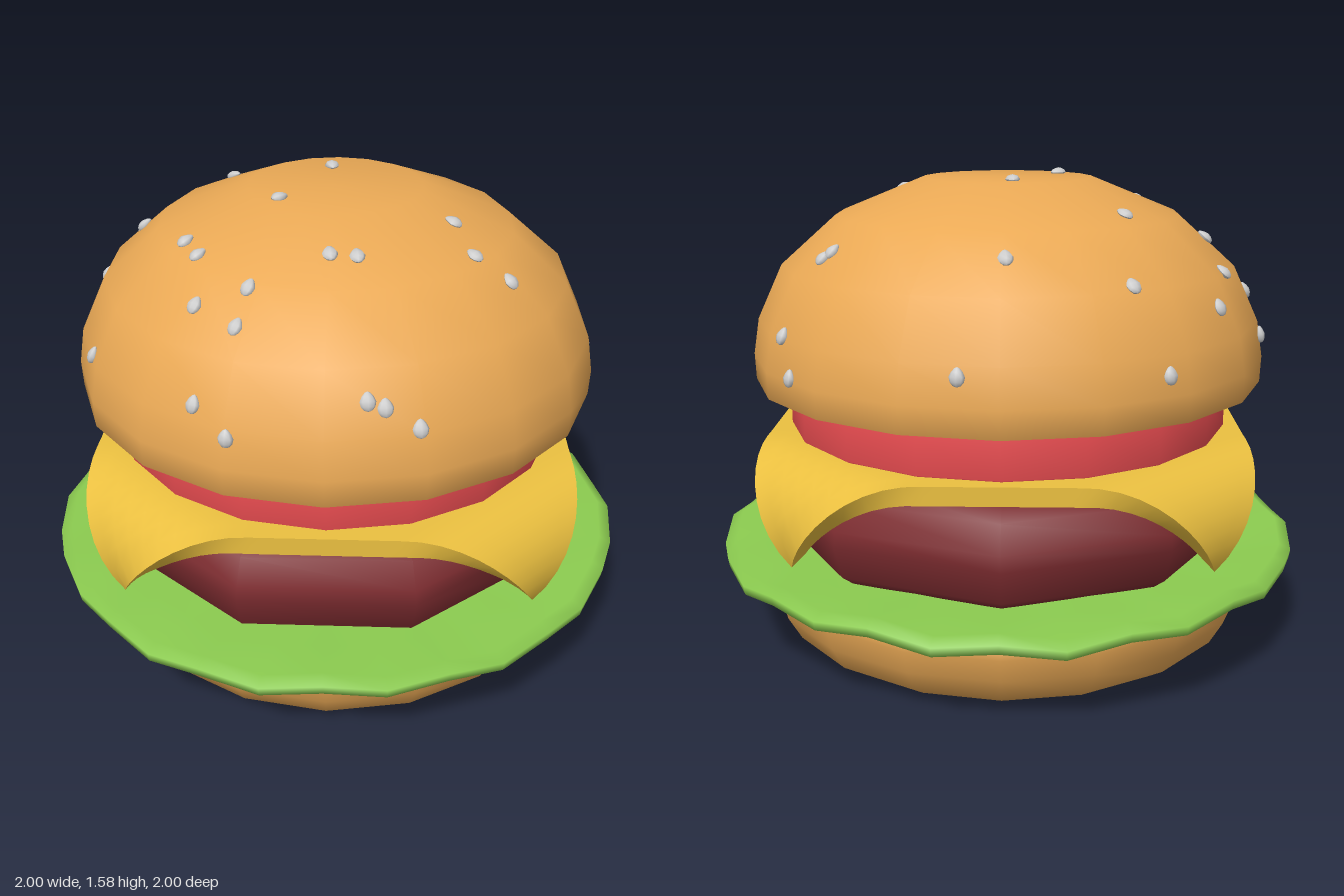
import * as THREE from 'three';
import { mergeVertices } from 'three/addons/utils/BufferGeometryUtils.js';

const mat = (color) => new THREE.MeshStandardMaterial({ color });
const bunMat = mat(0xeaa955);
const SIDES = 18;

// Crown profile: [radius, height] from the underside to the top
const crown = [[0, 0.885], [0.83, 0.885], [0.863, 0.893], [0.866, 0.98], [0.846, 1.1],
  [0.762, 1.28], [0.58, 1.44], [0.285, 1.56], [0, 1.562]];

function lathe(name, profile, sides, material) {
  const geo = new THREE.LatheGeometry(profile.map(([r, y]) => new THREE.Vector2(r, y)), sides);
  const mesh = new THREE.Mesh(geo, material);
  mesh.name = name;
  return mesh;
}

// Disc whose rim ripples up and down
function makeLettuce() {
  const mesh = lathe('lettuce', [[0, 0.27], [0.78, 0.275], [0.95, 0.28], [0.995, 0.295], [1, 0.325],
    [0.96, 0.345], [0.8, 0.325], [0, 0.325]], 32, mat(0x8ccc50));
  const geo = mesh.geometry;
  geo.deleteAttribute('uv');
  geo.deleteAttribute('normal');
  const p = geo.attributes.position;
  for (let i = 0; i < p.count; i++) {
    const x = p.getX(i), z = p.getZ(i), a = Math.atan2(x, z);
    const rim = THREE.MathUtils.smoothstep(Math.hypot(x, z), 0.72, 0.97);
    const wave = 0.013 * Math.cos(16 * a) + 0.007 * Math.sin(5 * a + 1);
    p.setY(i, p.getY(i) + rim * wave);
  }
  mesh.geometry = mergeVertices(geo, 1e-4);
  mesh.geometry.computeVertexNormals();
  return mesh;
}

// Square slice with its four corners rolled down around a diagonal bend
function makeCheese() {
  const start = 0.74, R = 0.18, maxBend = 2.1;
  const geo = new THREE.BoxGeometry(1.58, 0.06, 1.58, 28, 1, 28);
  const p = geo.attributes.position;
  for (let i = 0; i < p.count; i++) {
    const x = p.getX(i), t = p.getY(i), z = p.getZ(i);
    const s = (Math.abs(x) + Math.abs(z)) / Math.SQRT2;
    const a = THREE.MathUtils.clamp((s - start) / R, 0, maxBend);
    const rest = Math.max(s - start - R * maxBend, 0);
    let y = 0.7 + t, shift = 0;
    if (a > 0) {
      const out = start + (R + t) * Math.sin(a) + rest * Math.cos(a);
      y = 0.7 - R + (R + t) * Math.cos(a) - rest * Math.sin(a);
      shift = (out - s) / Math.SQRT2;
    }
    p.setXYZ(i, x + Math.sign(x) * shift, y, z + Math.sign(z) * shift);
  }
  geo.computeVertexNormals();
  const mesh = new THREE.Mesh(geo, mat(0xebc040));
  mesh.name = 'cheese';
  return mesh;
}

// Small teardrops lying on the crown, tips pointing uphill
function makeSeeds() {
  const spots = [
    [0.12, -0.83], [-0.49, -0.69], [-0.38, -0.63], [-0.01, -0.65], [-0.66, -0.44], [-0.37, -0.34],
    [-0.69, -0.29], [-0.84, -0.15], [-0.79, -0.1], [-0.65, -0.11], [-0.02, -0.18], [0.65, -0.55],
    [0.68, -0.48], [0.53, -0.4], [0.56, -0.4], [0.85, -0.02], [-0.17, 0.14], [0.37, 0.19],
    [0.43, 0.33], [0.54, 0.35], [-0.45, 0.27], [-0.4, 0.36], [-0.75, 0.36], [-0.39, 0.53],
    [-0.23, 0.54], [-0.26, 0.63], [0, 0.44], [0.08, 0.44], [-0.38, 0.72], [-0.28, 0.8],
    [0.12, 0.78], [0.17, 0.78], [0.27, 0.79]];
  const geo = new THREE.SphereGeometry(1, 8, 6);
  const p = geo.attributes.position;
  for (let i = 0; i < p.count; i++) {
    const y = p.getY(i), w = y > 0 ? 1 - 0.35 * y : 1;
    p.setXYZ(i, p.getX(i) * 0.024 * w, y * 0.029, p.getZ(i) * 0.016 * w);
  }
  geo.computeVertexNormals();
  const group = new THREE.Group();
  group.name = 'seeds';
  const material = mat(0xcccccc), step = (2 * Math.PI) / SIDES;
  for (const [x, z] of spots) {
    const a = Math.atan2(x, z);
    const facet = (Math.floor(a / step) + 0.5) * step;
    // Radius on the profile, allowing for the flat sides of the crown
    const r = Math.min(Math.hypot(x, z) * Math.cos(a - facet) / Math.cos(step / 2), 0.864);
    let k = 3;
    while (k < crown.length - 2 && crown[k + 1][0] > r) k++;
    const [r0, y0] = crown[k], [r1, y1] = crown[k + 1];
    const y = y0 + (y1 - y0) * (r0 - r) / (r0 - r1);
    const out = new THREE.Vector3(Math.sin(facet), 0, Math.cos(facet));
    const uphill = out.clone().multiplyScalar(r1 - r0).setY(y1 - y0).normalize();
    const normal = out.clone().multiplyScalar(y1 - y0).setY(r0 - r1).normalize();
    const side = new THREE.Vector3().crossVectors(uphill, normal);
    const seed = new THREE.Mesh(geo, material);
    seed.name = 'seed';
    seed.quaternion.setFromRotationMatrix(new THREE.Matrix4().makeBasis(side, uphill, normal));
    seed.position.set(x, y, z).addScaledVector(normal, 0.004);
    group.add(seed);
  }
  return group;
}

export function createModel() {
  const model = new THREE.Group();
  model.name = 'burger';

  const bottomBun = lathe('bottomBun', [[0, 0.005], [0.6, 0], [0.73, 0.01], [0.79, 0.05], [0.835, 0.13],
    [0.858, 0.21], [0.858, 0.255], [0.83, 0.27], [0, 0.272]], SIDES, bunMat);

  // Coarse nine-sided patty, one corner to the back
  const patty = lathe('patty', [[0, 0.32], [0.74, 0.325], [0.785, 0.36], [0.815, 0.47], [0.81, 0.52],
    [0.775, 0.61], [0.7, 0.648], [0, 0.65]], 9, mat(0x7d2c30));
  patty.rotation.y = Math.PI;

  const tomato = lathe('tomato', [[0, 0.72], [0.73, 0.72], [0.75, 0.735], [0.75, 0.865], [0.73, 0.885],
    [0, 0.888]], SIDES, mat(0xe84c50));

  model.add(bottomBun, makeLettuce(), patty, makeCheese(), tomato,
    lathe('topBun', crown, SIDES, bunMat), makeSeeds());
  return model;
}
